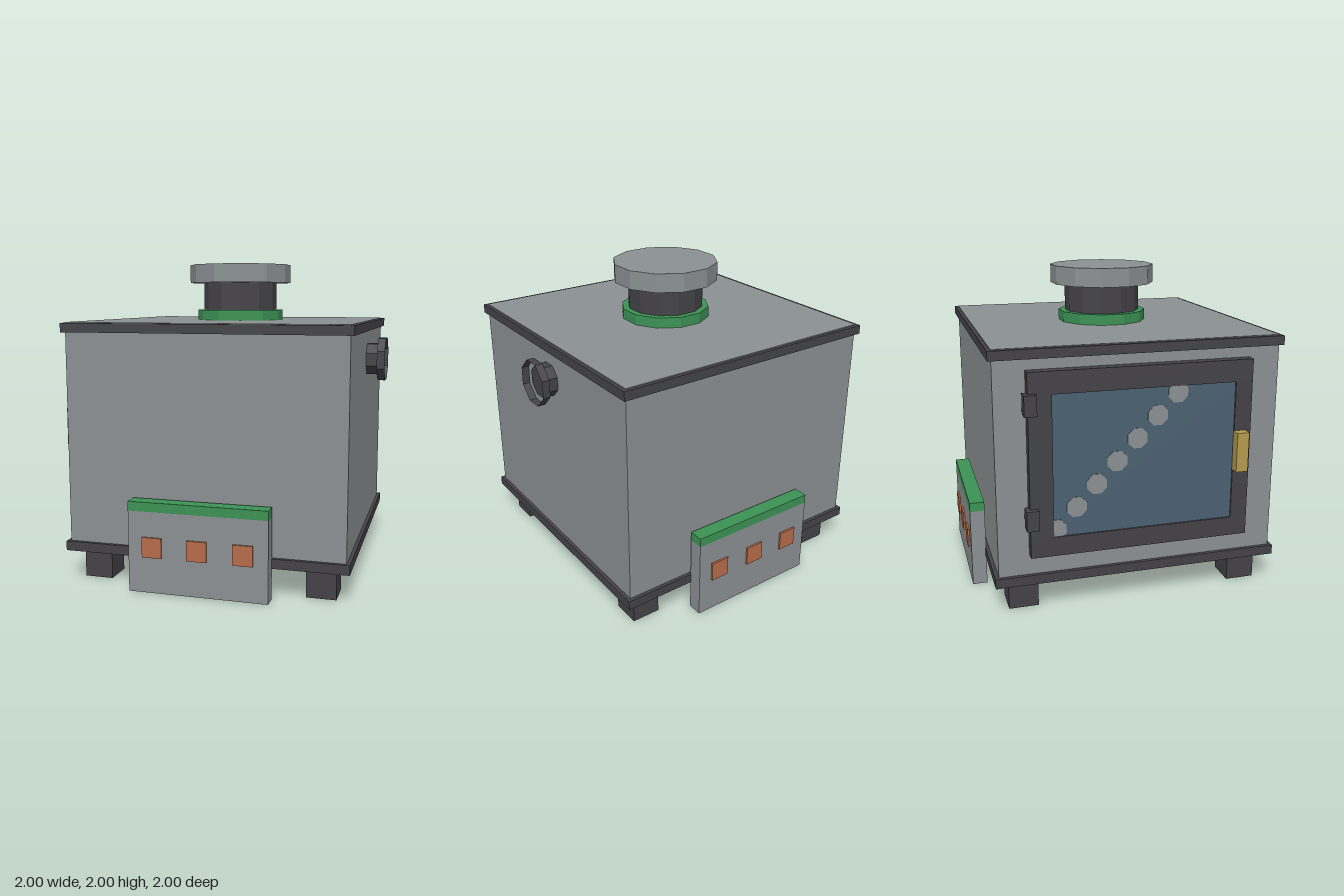
import * as THREE from 'three';

const paint = (name, color, extra = {}) => {
  const m = new THREE.MeshStandardMaterial({ color, ...extra });
  m.name = name;
  return m;
};

export function createModel() {
  const grey = paint('grey steel', 0x8b9092, { flatShading: true });
  const dark = paint('dark iron', 0x444247, { flatShading: true, side: THREE.DoubleSide });
  const green = paint('green trim', 0x3c9255, { flatShading: true });
  const copper = paint('copper', 0xb66b49);
  const brass = paint('brass', 0xb49b4d);
  const glass = paint('blue glass', 0x4b6172);

  const root = new THREE.Group();
  root.name = 'furnace';

  const add = (name, geometry, material, parent = root) => {
    const mesh = new THREE.Mesh(geometry, material);
    mesh.name = name;
    parent.add(mesh);
    return mesh;
  };
  // Box given by its min and max on each axis
  const box = (name, material, [x0, x1], [y0, y1], [z0, z1], parent = root) => {
    const mesh = add(name, new THREE.BoxGeometry(x1 - x0, y1 - y0, z1 - z0), material, parent);
    mesh.position.set((x0 + x1) / 2, (y0 + y1) / 2, (z0 + z1) / 2);
    return mesh;
  };
  // Polygonal prism with flat sides facing the axes, sized by the distance to its flats
  const prism = (apothem, height, sides, open = false) => {
    const r = apothem / Math.cos(Math.PI / sides);
    return new THREE.CylinderGeometry(r, r, height, sides, 1, open, Math.PI / sides);
  };

  // Body with dark rims at top and bottom
  box('body', grey, [-0.877, 0.877], [0.25, 1.57], [-0.877, 0.877]);
  box('bottomRim', dark, [-0.9, 0.9], [0.19, 0.25], [-0.9, 0.9]);
  box('topRim', dark, [-0.9, 0.9], [1.57, 1.627], [-0.9, 0.9]);
  box('topPlate', grey, [-0.877, 0.877], [1.625, 1.632], [-0.877, 0.877]);

  // Feet
  for (const x of [-0.72, 0.72])
    for (const z of [-0.72, 0.72])
      box('foot', dark, [x - 0.092, x + 0.092], [0, 0.19], [z - 0.092, z + 0.092]);

  // Chimney
  for (const [name, mat, r, y0, y1] of [
    ['chimneyCollar', green, 0.28, 1.63, 1.7],
    ['chimneyPipe', dark, 0.239, 1.7, 1.88],
    ['chimneyCap', grey, 0.33, 1.88, 2],
  ]) add(name, prism(r, y1 - y0, 12), mat).position.y = (y0 + y1) / 2;

  // Front and back panels with copper studs running through them
  for (const side of [1, -1]) {
    const panel = new THREE.Group();
    panel.name = side > 0 ? 'frontPanel' : 'backPanel';
    box('panelPlate', grey, [-0.437, 0.437], [0, 0.505], [0.895, 0.988], panel);
    box('panelTrim', green, [-0.437, 0.437], [0.505, 0.563], [0.895, 0.988], panel);
    for (const x of [-0.284, 0, 0.284])
      box('stud', copper, [x - 0.062, x + 0.062], [0.223, 0.348], [0.884, 1], panel);
    if (side < 0) panel.rotation.y = Math.PI;
    root.add(panel);
  }

  // Door on the right side: a frame around a recessed window
  const door = new THREE.Group();
  door.name = 'door';
  root.add(door);
  const dx = [-0.94, -0.877];
  box('doorFrameTop', dark, dx, [1.37, 1.505], [-0.69, 0.682], door);
  box('doorFrameBottom', dark, dx, [0.38, 0.5], [-0.69, 0.682], door);
  box('doorFrameBack', dark, dx, [0.5, 1.37], [-0.69, -0.55], door);
  box('doorFrameFront', dark, dx, [0.5, 1.37], [0.575, 0.682], door);
  box('window', glass, [-0.93, -0.88], [0.5, 1.37], [-0.55, 0.575], door);

  // Diagonal row of pale discs on the window
  for (let i = 0; i < 7; i++) {
    const disc = add('windowDisc', prism(0.061, 0.006, 8), grey, door);
    disc.rotation.z = Math.PI / 2;
    disc.position.set(-0.931, 1.33 - i * 0.131, 0.21 - i * 0.124);
  }

  // Hinges and handle
  for (const y of [0.628, 1.318])
    box('hinge', dark, [-0.975, -0.9], [y - 0.062, y + 0.062], [-0.716, -0.642], door);
  box('handle', brass, [-1, -0.94], [0.818, 1.065], [0.572, 0.648], door);

  // Side port: short pipe with an open hoop at its end
  const port = new THREE.Group();
  port.name = 'sidePort';
  port.position.y = 1.38;
  root.add(port);
  const pipe = add('portPipe', prism(0.1, 0.085, 8), dark, port);
  pipe.position.x = 0.91;
  const hoop = add('portHoop', prism(0.137, 0.05, 8, true), dark, port);
  hoop.position.x = 0.975;
  pipe.rotation.z = hoop.rotation.z = -Math.PI / 2;

  return root;
}
